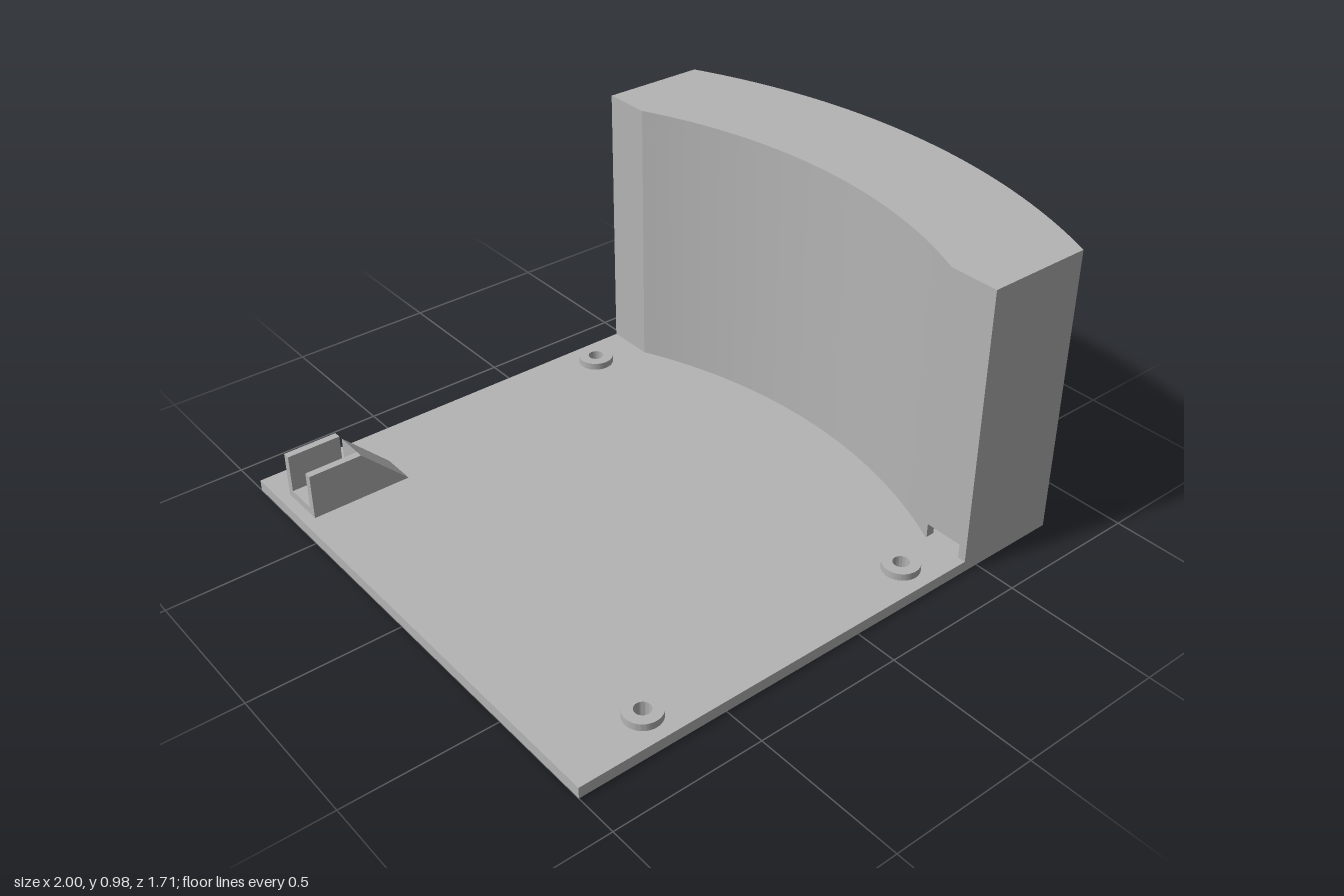
import * as THREE from 'three';
import { toCreasedNormals } from 'three/addons/utils/BufferGeometryUtils.js';

const CX = -1.02;        // common centre of the curved faces
const R_OUT = 2.02, R_BACK = 1.62, R_IN = 1.64;
const HZ = 0.857;        // half depth
const XB = 0.445, XI = 0.475, XF = 0.809; // flat wall back, flat wall inside, side wall end
const FLOOR = 0.038, CEIL = 0.943, TOP = 0.977;
const SIDE = 0.02;       // side wall thickness
const SLOT = { z0: 0.7, z1: 0.83, top: 0.087 };

export function createModel() {
  const group = new THREE.Group();
  const grey = new THREE.MeshStandardMaterial({ color: 0xb4b4b4 });
  grey.name = 'plain grey';

  const add = (name, geometry) => {
    const mesh = new THREE.Mesh(geometry, grey);
    mesh.name = name;
    group.add(mesh);
  };
  // plan outline in (x, z), raised from y0 to y1
  const raise = (name, shape, y0, y1) => {
    const g = new THREE.ExtrudeGeometry(shape, { depth: y1 - y0, bevelEnabled: false, curveSegments: 40 });
    g.rotateX(Math.PI / 2).translate(0, y1, 0);
    add(name, toCreasedNormals(g, 0.4));
  };
  const box = (name, x0, x1, y0, y1, z0, z1) => add(name,
    new THREE.BoxGeometry(x1 - x0, y1 - y0, z1 - z0)
      .translate((x0 + x1) / 2, (y0 + y1) / 2, (z0 + z1) / 2));
  const outerAngle = Math.asin(HZ / R_OUT);
  const backAngle = Math.acos((XB - CX) / R_BACK);
  const inAngle = Math.acos((XI - CX) / R_IN);

  // base plate with a bowed edge and four screw holes
  const bosses = [[-0.71, -0.755], [-0.71, 0.755], [0.275, -0.755], [0.275, 0.755]];
  const base = new THREE.Shape();
  base.moveTo(-1, -HZ);
  base.lineTo(XF, -HZ);
  base.absarc(CX, 0, R_OUT, -outerAngle, outerAngle, false);
  base.lineTo(-1, HZ);
  base.closePath();
  for (const [x, z] of bosses) base.holes.push(new THREE.Path().absarc(x, z, 0.026, 0, Math.PI * 2, true));
  raise('basePlate', base, 0, FLOOR);

  // raised rings round the holes
  for (const [x, z] of bosses) {
    const ring = new THREE.Shape().absarc(x, z, 0.06, 0, Math.PI * 2, false);
    ring.holes.push(new THREE.Path().absarc(x, z, 0.026, 0, Math.PI * 2, true));
    raise('screwBoss', ring, FLOOR, 0.062);
  }

  // curved roof of the housing
  const roof = new THREE.Shape();
  roof.moveTo(XB, -HZ);
  roof.lineTo(XF, -HZ);
  roof.absarc(CX, 0, R_OUT, -outerAngle, outerAngle, false);
  roof.lineTo(XB, HZ);
  roof.absarc(CX, 0, R_BACK, backAngle, -backAngle, true);
  roof.closePath();
  raise('housingRoof', roof, CEIL, TOP);

  // rear wall with its curved middle, and one side wall
  const wall = new THREE.Shape();
  wall.moveTo(XB, -HZ);
  wall.lineTo(XF, -HZ);
  wall.lineTo(XF, -HZ + SIDE);
  wall.lineTo(XI, -HZ + SIDE);
  wall.absarc(CX, 0, R_IN, -inAngle, inAngle, false);
  wall.lineTo(XI, SLOT.z0);
  wall.lineTo(XB, SLOT.z0);
  wall.absarc(CX, 0, R_BACK, backAngle, -backAngle, true);
  wall.closePath();
  raise('housingWall', wall, FLOOR, CEIL);

  // other end of the wall, with the cable slot at its foot
  box('wallAboveSlot', XB, XI, SLOT.top, CEIL, SLOT.z0, HZ - SIDE);
  box('slotJamb', XB, XI, FLOOR, SLOT.top, SLOT.z1, HZ - SIDE);
  box('sideWall', XB, XF, FLOOR, CEIL, HZ - SIDE, HZ);

  // open channel bracket
  box('bracketCheek', -0.962, -0.78, FLOOR, 0.195, -0.73, -0.705);
  box('bracketCheek', -0.962, -0.78, FLOOR, 0.195, -0.595, -0.57);
  box('bracketFloor', -0.962, -0.78, FLOOR, 0.065, -0.705, -0.595);

  // sloping brace behind the bracket
  const brace = new THREE.Shape();
  brace.moveTo(-0.78, FLOOR);
  brace.lineTo(-0.622, FLOOR);
  brace.lineTo(-0.78, 0.195);
  brace.closePath();
  add('bracketBrace', new THREE.ExtrudeGeometry(brace, { depth: 0.12, bevelEnabled: false }).translate(0, 0, -0.69));

  return group;
}
